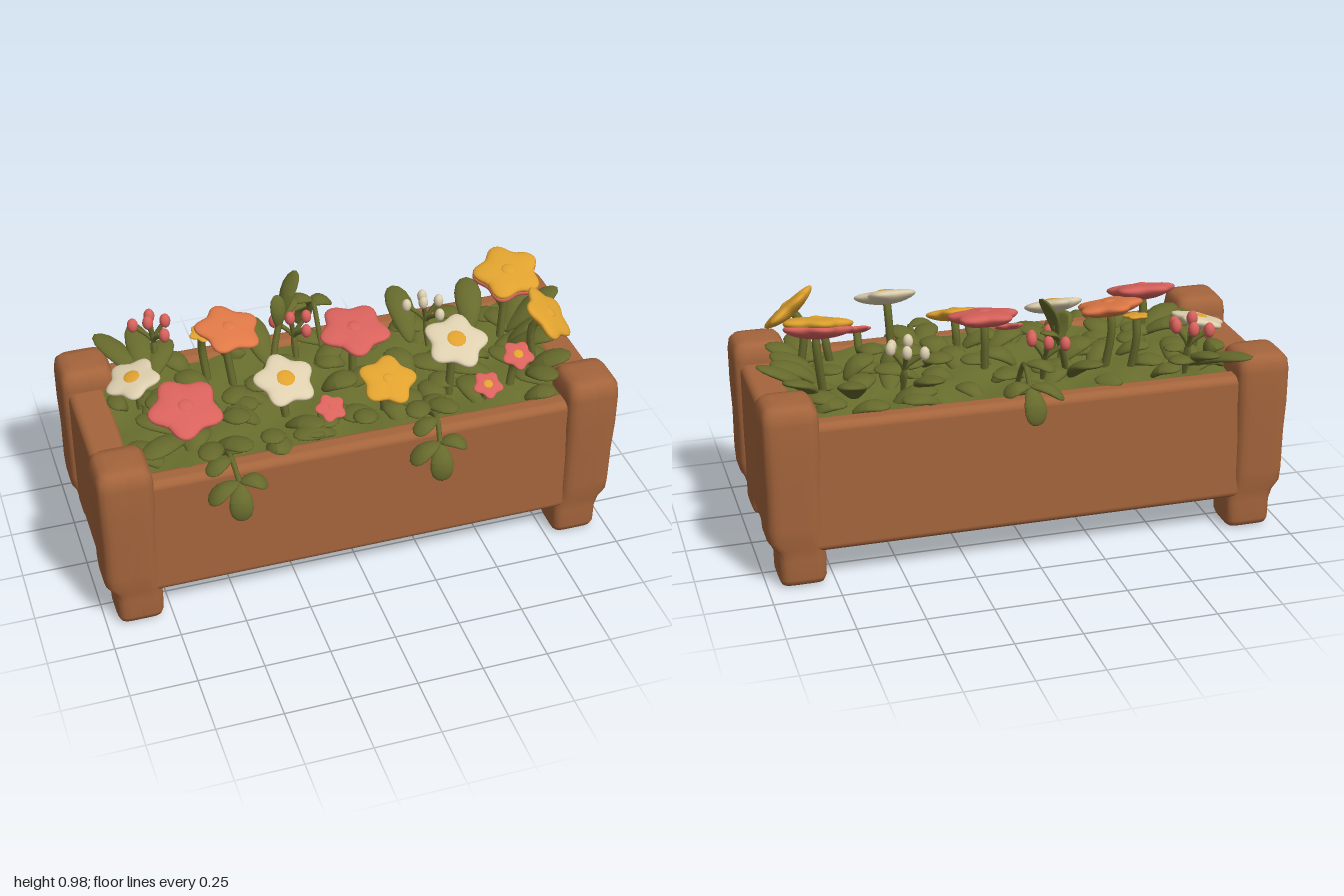
import * as THREE from 'three';
import { RoundedBoxGeometry } from 'three/addons/geometries/RoundedBoxGeometry.js';

const mat = (name, color) => {
  const m = new THREE.MeshStandardMaterial({ color });
  m.name = name;
  return m;
};

export function createModel() {
  const root = new THREE.Group();
  root.name = 'flowerPlanter';
  const clay = mat('terracotta', 0xa5653c);
  const green = mat('leafGreen', 0x666a2c);
  const moss = mat('mossGreen', 0x6a702e);
  const pink = mat('pink', 0xd9625c);
  const orange = mat('orange', 0xdf7846);
  const yellow = mat('yellow', 0xe0a22f);
  const cream = mat('cream', 0xddcfae);

  let seed = 7;
  const rnd = () => (seed = (seed * 16807) % 2147483647) / 2147483647;
  const V = (x, y, z) => new THREE.Vector3(x, y, z);

  const add = (parent, name, geo, material, x = 0, y = 0, z = 0) => {
    const m = new THREE.Mesh(geo, material);
    m.name = name;
    m.position.set(x, y, z);
    parent.add(m);
    return m;
  };
  // Move every vertex by a rule, then refresh the normals
  const deform = (geo, rule) => {
    const p = geo.attributes.position;
    const v = V(0, 0, 0);
    for (let i = 0; i < p.count; i++) {
      rule(v.fromBufferAttribute(p, i));
      p.setXYZ(i, v.x, v.y, v.z);
    }
    geo.computeVertexNormals();
    return geo;
  };

  // Trough walls, floor and planted bed
  const trough = new THREE.Group();
  trough.name = 'trough';
  root.add(trough);
  const wall = (name, w, h, d, x, y, z) =>
    add(trough, name, new RoundedBoxGeometry(w, h, d, 4, 0.03), clay, x, y, z);
  wall('frontWall', 1.84, 0.505, 0.09, 0, 0.383, 0.345);
  wall('backWall', 1.84, 0.505, 0.09, 0, 0.383, -0.36);
  for (const s of [-1, 1]) wall('endWall', 0.14, 0.51, 0.74, s * 0.905, 0.385, -0.005);
  add(trough, 'floor', new THREE.BoxGeometry(1.8, 0.06, 0.7), clay, 0, 0.163, -0.005);
  add(trough, 'bed', deform(new THREE.BoxGeometry(1.72, 0.06, 0.66, 24, 1, 10), (v) => {
    if (v.y > 0) v.y += 0.012 * Math.sin(v.x * 17) * Math.cos(v.z * 19);
  }), moss, 0, 0.595, -0.005);

  // Rounded square corner posts with narrower, inset feet
  const profile = [[0, 0], [0.06, 0], [0.08, 0.008], [0.088, 0.03], [0.089, 0.11], [0.092, 0.15],
    [0.1, 0.19], [0.102, 0.24], [0.1, 0.4], [0.104, 0.52], [0.104, 0.65], [0.098, 0.69],
    [0.08, 0.711], [0.05, 0.716], [0, 0.716]].map((q) => new THREE.Vector2(...q));
  for (const sx of [-1, 1]) for (const sz of [-1, 1]) {
    const geo = deform(new THREE.LatheGeometry(profile, 40), (v) => {
      const r = Math.hypot(v.x, v.z);
      if (r > 1e-5) {
        const n = 6;
        const k = 1 / Math.pow(Math.abs(v.x / r) ** n + Math.abs(v.z / r) ** n, 1 / n);
        v.x *= k;
        v.z *= k;
      }
      v.x -= sx * 0.026 * (1 - THREE.MathUtils.smoothstep(v.y, 0.12, 0.2));
      v.z -= sz * 0.013 * (1 - THREE.MathUtils.smoothstep(v.y, 0.15, 0.5));
    });
    add(root, 'cornerPost', geo, clay, sx * 0.894, 0, sz * 0.32 - 0.006);
  }

  // Arched spoon-shaped leaf from base to tip, along +z before turning
  const leafGeo = deform(new THREE.SphereGeometry(1, 16, 12), (v) => {
    const t = (v.z + 1) / 2;
    v.x *= 0.65 + 0.5 * t;
    v.y = v.y * 0.34 - 0.1 * v.x * v.x + 0.4 * Math.sin(Math.PI * t);
    v.z = t;
  });
  const foliage = new THREE.Group();
  foliage.name = 'foliage';
  root.add(foliage);
  const leaf = (a, b, width) => {
    const d = b.clone().sub(a);
    const m = add(foliage, 'leaf', leafGeo, green, a.x, a.y, a.z);
    m.rotation.set(-Math.atan2(d.y, Math.hypot(d.x, d.z)), Math.atan2(d.x, d.z), 0, 'YXZ');
    m.scale.set(width, width, d.length());
  };
  const stem = (points, r = 0.013) => add(foliage, 'stem',
    new THREE.TubeGeometry(new THREE.CatmullRomCurve3(points), 8, r, 7), green);

  // Ground leaves scattered over the bed
  for (let i = 0; i < 12; i++) for (let j = 0; j < 5; j++) {
    const x = -0.76 + i * 0.138 + (rnd() - 0.5) * 0.09;
    const z = -0.26 + j * 0.13 + (rnd() - 0.5) * 0.08;
    const h = rnd() * Math.PI * 2, l = 0.12 + rnd() * 0.06;
    const b = V(THREE.MathUtils.clamp(x + Math.sin(h) * l, -0.85, 0.85), 0.63 + rnd() * 0.04,
      THREE.MathUtils.clamp(z + Math.cos(h) * l, -0.34, 0.32));
    leaf(V(x, 0.61, z), b, 0.046 + rnd() * 0.014);
  }

  // Fans of larger leaves: each starts at one point and spreads to its tips
  const fan = (x, z, width, ...tips) => {
    for (const tip of tips) leaf(V(x, 0.625, z), V(...tip), width);
  };
  fan(-0.67, -0.22, 0.052, [-0.82, 0.73, -0.46], [-0.67, 0.75, -0.46], [-0.55, 0.71, -0.38]);
  fan(-0.2, -0.2, 0.058, [-0.24, 0.74, -0.4]);
  fan(0.37, -0.18, 0.058, [0.37, 0.75, -0.41]);
  fan(0.62, -0.18, 0.058, [0.67, 0.75, -0.38]);
  fan(0.75, -0.14, 0.056, [0.97, 0.78, -0.16], [0.88, 0.75, -0.28]);
  fan(0.71, -0.04, 0.06, [0.9, 0.73, -0.02], [0.88, 0.73, 0.08]);
  fan(0.72, 0.14, 0.057, [0.88, 0.72, 0.2], [0.76, 0.71, 0.32]);
  fan(0.62, 0, 0.055, [0.5, 0.7, 0.04]);
  fan(0.3, 0.05, 0.06, [0.24, 0.69, -0.08]);
  fan(-0.2, -0.06, 0.06, [-0.34, 0.69, 0]);
  fan(-0.45, 0.06, 0.055, [-0.4, 0.69, 0.2]);
  fan(-0.6, 0.14, 0.055, [-0.78, 0.69, 0.06], [-0.8, 0.68, 0.29]);
  fan(-0.52, 0.22, 0.05, [-0.59, 0.69, 0.38], [-0.42, 0.69, 0.36]);
  fan(0.28, 0.21, 0.05, [0.2, 0.68, 0.35], [0.36, 0.68, 0.36]);
  fan(-0.3, 0.22, 0.05, [-0.34, 0.68, 0.34]);
  fan(0.05, 0.2, 0.05, [0.02, 0.68, 0.33]);

  // Trailing sprigs hanging over the rim
  const trail = (x, s, z, y, dx) => {
    const end = V(x + dx, y - 0.06, s * (z + 0.065));
    stem([V(x, 0.62, s * (z - 0.12)), V(x, y, s * z), end], 0.01);
    leaf(end, V(end.x - 0.01, y - 0.19, s * (z + 0.13)), 0.047);
    leaf(end, V(end.x - 0.12, y - 0.11, s * (z + 0.1)), 0.045);
    leaf(end, V(end.x + 0.1, y - 0.08, s * (z + 0.09)), 0.045);
    leaf(V(x, y, s * z), V(x - 0.1, y - 0.02, s * (z + 0.05)), 0.04);
  };
  trail(-0.5, 1, 0.365, 0.67, 0.01);
  trail(0.28, 1, 0.365, 0.67, -0.01);
  trail(0.03, -1, 0.375, 0.77, 0);

  // Tall shoot at the back
  stem([V(-0.2, 0.61, -0.16), V(-0.16, 0.75, -0.22), V(-0.11, 0.87, -0.26)]);
  leaf(V(-0.13, 0.81, -0.25), V(-0.06, 0.98, -0.285), 0.04);
  leaf(V(-0.15, 0.77, -0.23), V(-0.15, 0.91, -0.25), 0.032);
  leaf(V(-0.14, 0.79, -0.24), V(-0.06, 0.85, -0.3), 0.032);

  // Five-lobed puffy flower head with flat button centre on a curved stem
  const petalGeo = deform(new THREE.SphereGeometry(1, 50, 12), (v) => {
    const r = Math.hypot(v.x, v.z);
    const lobe = 0.88 + 0.12 * Math.cos(5 * Math.atan2(v.z, v.x)) * r;
    v.x *= lobe;
    v.z *= lobe;
    v.y = v.y * 0.22 + 0.07 * r * r;
  });
  const buttonGeo = new THREE.SphereGeometry(1, 14, 8);
  const flower = (x, y, z, r, petals, centre, n = [0, 1, 0.15], under = null) => {
    const g = new THREE.Group();
    g.name = 'flower';
    g.position.set(x, y, z);
    const normal = V(...n).normalize();
    g.quaternion.setFromUnitVectors(V(0, 1, 0), normal);
    root.add(g);
    const head = (name, material, drop) => {
      const m = add(g, name, petalGeo, material, 0, drop, 0);
      m.scale.setScalar(r);
      m.rotation.y = x * 9;
    };
    head('petals', petals, 0);
    if (under) head('petalUnderside', under, -0.02);
    const c = r * (centre === petals ? 0.2 : 0.3);
    add(g, 'flowerCentre', buttonGeo, centre, 0, r * 0.2, 0).scale.set(c, r * 0.06, c);
    const top = V(x, y, z);
    stem([V(x * 0.97, 0.6, z * 0.9), top.clone().addScaledVector(normal, -0.07), top], 0.016);
  };
  flower(-0.75, 0.75, -0.09, 0.108, cream, yellow, [-0.25, 1, 0.1]);
  flower(-0.37, 0.86, -0.14, 0.13, orange, orange, [0.1, 1, 0.2]);
  flower(-0.46, 0.835, -0.19, 0.05, yellow, yellow);
  flower(0.09, 0.83, -0.04, 0.14, pink, pink, [0, 1, 0.2]);
  flower(0.74, 0.905, -0.13, 0.135, yellow, yellow, [-0.08, 1, 0.3], pink);
  flower(0.79, 0.875, 0.14, 0.122, yellow, yellow, [0.65, 0.8, 0.35]);
  flower(-0.62, 0.785, 0.19, 0.142, pink, pink, [0, 1, 0.3]);
  flower(-0.23, 0.785, 0.13, 0.12, cream, yellow, [0.05, 1, 0.4]);
  flower(0.41, 0.865, 0.19, 0.124, cream, yellow, [0, 1, 0.4]);
  flower(0.14, 0.76, 0.21, 0.112, yellow, yellow, [0, 1, 0.4]);
  flower(-0.08, 0.685, 0.21, 0.06, pink, pink, [0, 1, 0.5]);
  flower(0.51, 0.71, 0.28, 0.06, pink, yellow, [0, 1, 0.5]);
  flower(0.65, 0.775, 0.22, 0.064, pink, yellow, [0, 1, 0.5]);

  // Sprigs of small buds, spread along a slanting line
  const buds = (x, y, z, r, material) => {
    for (let i = 0; i < 5; i++) {
      const t = i / 4 - 0.5, side = i % 2 ? 0.025 : -0.02;
      const p = V(x + t * 0.1 + side, y - Math.abs(t) * 0.07, z + t * 0.1 - side);
      stem([V(x, 0.62, z + 0.03), V(x, y - 0.1, z), p], 0.009);
      add(root, 'bud', buttonGeo, material, p.x, p.y, p.z).scale.set(r, r * 1.4, r);
    }
  };
  buds(-0.62, 0.85, -0.32, 0.021, pink);
  buds(-0.09, 0.82, -0.23, 0.02, pink);
  buds(0.43, 0.82, -0.18, 0.019, cream);

  return root;
}
